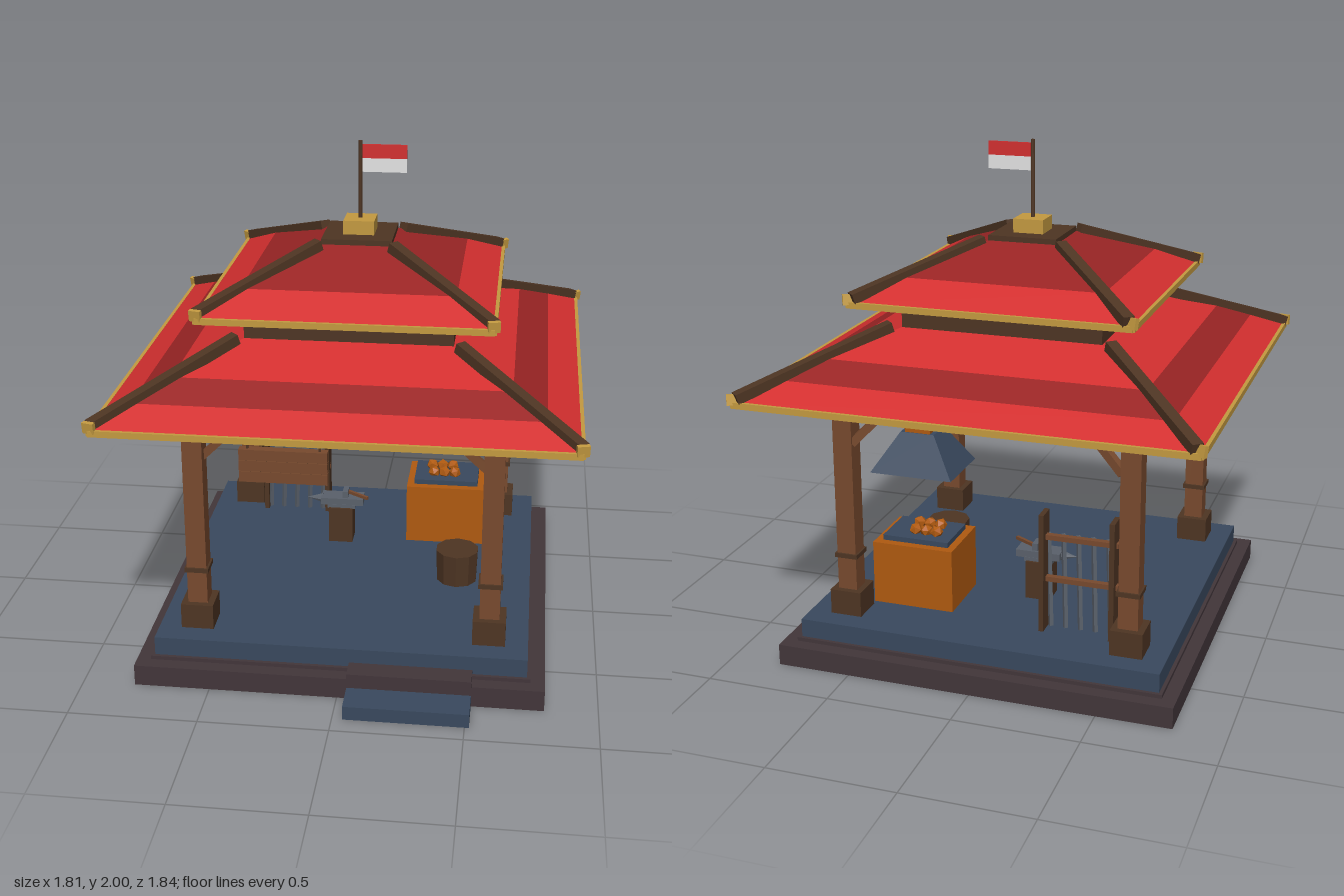
import * as THREE from 'three';

const mat = (name, color) => {
  const m = new THREE.MeshStandardMaterial({ color, flatShading: true });
  m.name = name;
  return m;
};

export function createModel() {
  const red = mat('roof red', 0xd32f2f), darkRed = mat('roof dark red', 0x992424);
  const slate = mat('slate', 0x39495e), stone = mat('base stone', 0x42363a);
  const wood = mat('wood', 0x784a2e), darkWood = mat('dark wood', 0x4e3523);
  const gold = mat('gold', 0xc49a40), orange = mat('fired clay', 0xb05a10);
  const steel = mat('steel', 0x5a616b), white = mat('white', 0xe4e4e4);

  const root = new THREE.Group();
  root.name = 'forgePavilion';
  const model = new THREE.Group();
  model.name = 'pavilion';
  model.position.z = -0.016;
  root.add(model);

  const add = (name, geo, m, x = 0, y = 0, z = 0) => {
    const mesh = new THREE.Mesh(geo, m);
    mesh.name = name;
    mesh.position.set(x, y, z);
    model.add(mesh);
    return mesh;
  };
  // Box given by its extents on each axis
  const box = (name, m, x0, x1, y0, y1, z0, z1) =>
    add(name, new THREE.BoxGeometry(x1 - x0, y1 - y0, z1 - z0), m, (x0 + x1) / 2, (y0 + y1) / 2, (z0 + z1) / 2);
  // Square-plan block centred on x, z
  const block = (name, m, half, y0, y1, x = 0, z = 0) => box(name, m, x - half, x + half, y0, y1, z - half, z + half);
  // Straight bar between two points
  const bar = (name, m, a, b, w, h = w) => {
    const p = new THREE.Vector3(...a), q = new THREE.Vector3(...b);
    const mesh = add(name, new THREE.BoxGeometry(w, h, p.distanceTo(q)), m);
    mesh.position.copy(p).add(q).multiplyScalar(0.5);
    mesh.lookAt(q);
    return mesh;
  };
  // Square frustum
  const frustum = (name, m, h0, y0, h1, y1, open = true) => {
    const g = new THREE.CylinderGeometry(h1 * Math.SQRT2, h0 * Math.SQRT2, y1 - y0, 4, 1, open);
    g.rotateY(Math.PI / 4);
    return add(name, g, m, 0, (y0 + y1) / 2, 0);
  };

  // Platform and steps
  block('foundation', stone, 0.795, 0, 0.085);
  block('foundationSeam', stone, 0.74, 0.085, 0.1);
  block('floorSlab', slate, 0.726, 0.095, 0.175);
  box('upperStep', stone, 0.04, 0.517, 0.058, 0.117, 0.7, 0.812);
  box('lowerStep', slate, 0.04, 0.517, 0, 0.056, 0.78, 0.939);

  // Posts, capitals and braces
  const P = 0.573;
  for (const sx of [-1, 1]) for (const sz of [-1, 1]) {
    const x = sx * P, z = sz * P;
    block('postFoot', darkWood, 0.064, 0.175, 0.277, x, z);
    block('post', wood, 0.039, 0.277, 1.0, x, z);
    block('postRing', darkWood, 0.047, 0.412, 0.43, x, z);
    block('capital', darkWood, 0.06, 1.0, 1.035, x, z);
    bar('sideBrace', wood, [sx * 0.54, 0.89, z], [sx * 0.4, 1.035, z], 0.032);
    if (sz > 0) bar('frontBrace', wood, [x, 0.89, 0.54], [x, 1.035, 0.4], 0.032);
  }
  for (const s of [-1, 1]) {
    box('crossBeam', darkWood, -0.64, 0.64, 1.03, 1.085, s * P - 0.045, s * P + 0.045);
    box('sideBeam', darkWood, s * P - 0.045, s * P + 0.045, 1.032, 1.084, -0.64, 0.64);
  }

  // Roof tiers: soffit, gold eave, coloured bands and hip beams
  const bands = (name, pts, mats) => mats.forEach((m, i) =>
    frustum(name, m, pts[i][0], pts[i][1], pts[i + 1][0], pts[i + 1][1]));
  const tier = (name, pts, mats, hipLow, hipHigh) => {
    const [h, y] = pts[0];
    block(name + 'Soffit', darkWood, h - 0.012, y - 0.022, y - 0.004);
    bands(name + 'Band', pts, mats);
    for (const s of [-1, 1]) {
      box(name + 'EaveTrim', gold, -h, h, y - 0.02, y + 0.004, s * h - 0.007, s * h + 0.007);
      box(name + 'EaveTrim', gold, s * h - 0.007, s * h + 0.007, y - 0.02, y + 0.004, -h, h);
    }
    for (const sx of [-1, 1]) for (const sz of [-1, 1]) {
      const at = ([d, yy]) => [sx * d, yy, sz * d];
      bar(name + 'Hip', darkWood, at(hipLow), at(hipHigh), 0.044, 0.04);
      const tip = [hipLow[0] + 0.012, hipLow[1] - 0.005];
      bar(name + 'HipTip', gold, at(hipLow), at(tip), 0.046, 0.042);
    }
  };
  tier('lowerRoof', [[0.885, 1.11], [0.757, 1.173], [0.63, 1.233], [0.4, 1.315]], [red, darkRed, red],
    [0.875, 1.125], [0.43, 1.325]);
  block('clerestory', darkWood, 0.4, 1.29, 1.42);
  block('clerestoryTrim', gold, 0.406, 1.394, 1.406);
  tier('upperRoof', [[0.555, 1.437], [0.407, 1.514], [0.13, 1.622]], [red, darkRed],
    [0.545, 1.452], [0.15, 1.622]);
  block('roofCap', darkWood, 0.138, 1.608, 1.64);
  block('finialBlock', gold, 0.061, 1.64, 1.695);

  // Flag
  add('flagPole', new THREE.CylinderGeometry(0.008, 0.008, 0.31, 8), darkWood, 0, 1.845, 0);
  box('flagRed', red, 0.008, 0.182, 1.932, 1.986, -0.004, 0.004);
  box('flagWhite', white, 0.008, 0.182, 1.878, 1.932, -0.004, 0.004);

  // Hanging plank sign
  for (let i = 0; i < 3; i++) {
    const y = 0.802 + i * 0.045;
    box('signPlank', wood, -0.397, -0.057, y, y + 0.043, P - 0.018, P + 0.018);
  }
  box('signBacking', darkWood, -0.39, -0.064, 0.806, 0.932, P - 0.014, P + 0.014);
  for (const x of [-0.365, -0.087]) box('signRope', darkWood, x - 0.004, x + 0.004, 0.93, 1.04, P - 0.004, P + 0.004);

  // Forge with coal bed, hood and chimney
  const fx = 0.347, fz = -0.349;
  box('forgeBody', orange, fx - 0.168, fx + 0.168, 0.175, 0.435, fz - 0.137, fz + 0.137);
  box('coalBed', slate, fx - 0.138, fx + 0.138, 0.435, 0.456, fz - 0.103, fz + 0.103);
  for (let i = 0; i < 3; i++) for (let j = 0; j < 2; j++) {
    const coal = add('coal', new THREE.IcosahedronGeometry(0.027, 0), orange,
      fx - 0.067 + i * 0.045 + j * 0.012, 0.468, fz - 0.036 + j * 0.074);
    coal.rotation.set(i, j + i, 0.4 * i);
  }
  const hood = frustum('hood', slate, 0.17, 0.732, 0.07, 0.887, false);
  hood.position.x = fx;
  hood.position.z = fz;
  hood.scale.z = 0.81;
  block('chimney', orange, 0.053, 0.88, 1.1, fx, fz);

  // Wooden tub
  add('tub', new THREE.CylinderGeometry(0.09, 0.085, 0.137, 10), darkWood, 0.42, 0.2435, 0.104);

  // Anvil on its stump, with hammer
  const az = -0.215;
  box('stump', darkWood, -0.158, -0.055, 0.175, 0.335, az - 0.052, az + 0.052);
  box('anvilFoot', steel, -0.165, -0.045, 0.332, 0.35, az - 0.042, az + 0.042);
  box('anvilTop', steel, -0.195, -0.01, 0.347, 0.377, az - 0.04, az + 0.04);
  const horn = add('anvilHorn', new THREE.ConeGeometry(0.022, 0.07, 8), steel, -0.225, 0.36, az);
  horn.rotation.z = Math.PI / 2;
  box('hammerHead', steel, -0.1, -0.077, 0.377, 0.407, az - 0.03, az + 0.03);
  bar('hammerHandle', wood, [-0.09, 0.392, az], [0.018, 0.39, az + 0.035], 0.013);

  // Tool rack
  const rz = -0.494;
  for (const x of [-0.486, -0.206]) box('rackPost', darkWood, x - 0.01, x + 0.01, 0.175, 0.66, rz - 0.04, rz + 0.04);
  for (const y of [0.562, 0.388]) box('rackRail', wood, -0.505, -0.195, y - 0.01, y + 0.01, rz - 0.012, rz + 0.012);
  for (let i = 0; i < 5; i++) {
    const x = -0.455 + i * 0.06;
    bar('tool', steel, [x - 0.016, 0.18, rz + 0.03], [x, 0.565, rz + 0.016], 0.015);
  }
  return root;
}
